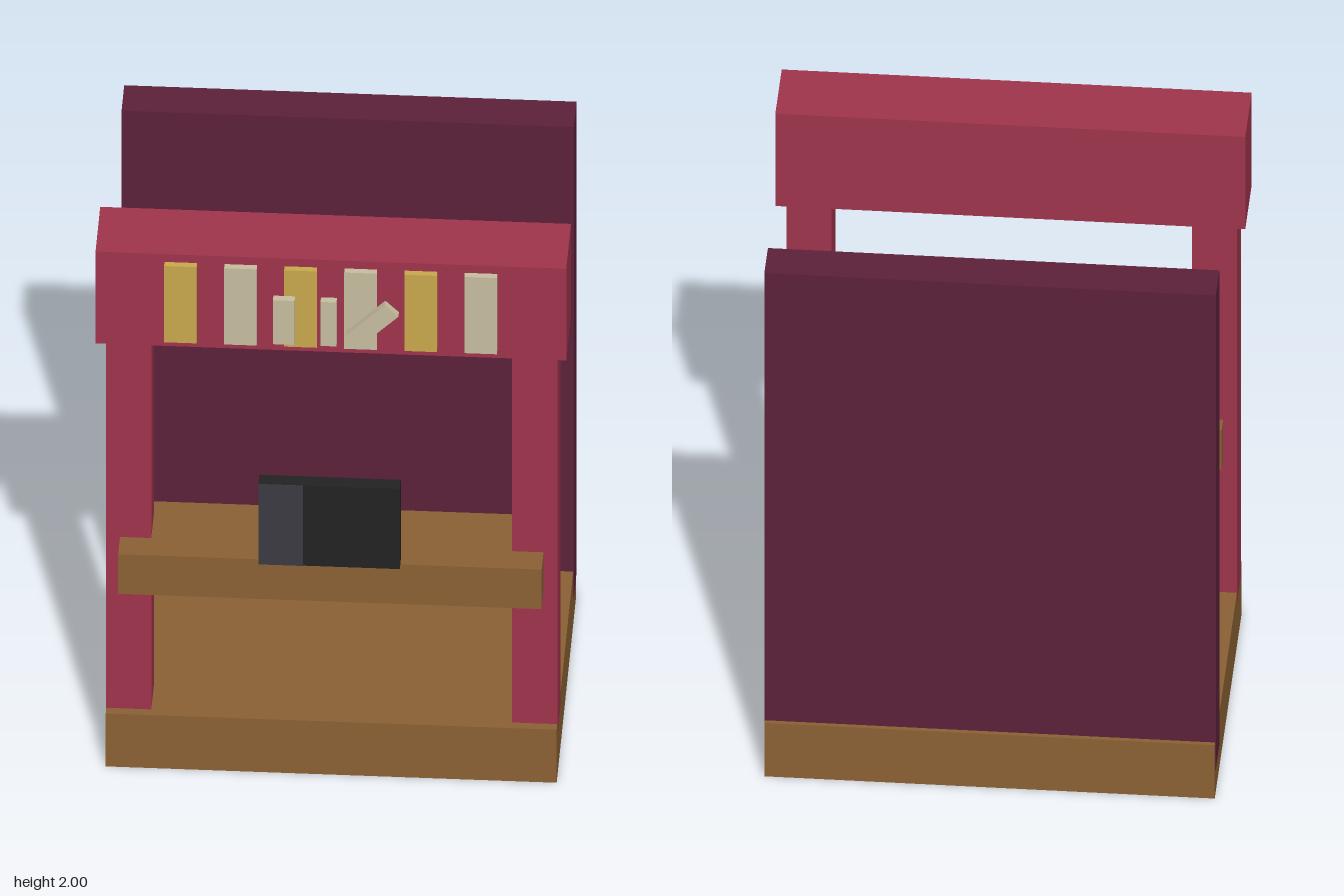
import * as THREE from 'three';

const material = (name, color) => {
  const m = new THREE.MeshStandardMaterial({ color });
  m.name = name;
  return m;
};

export function createModel() {
  const wood = material('wood', 0x8b6134);
  const red = material('crimson', 0xa0344c);
  const plum = material('plum', 0x5c213a);
  const gold = material('gold', 0xc9a84c);
  const cream = material('cream', 0xc8bda0);
  const black = material('black', 0x222222);
  const grey = material('grey', 0x3a3a42);

  const model = new THREE.Group();
  model.name = 'stall';

  // Box given by its extents along each axis
  const box = (name, mat, [x0, x1], [y0, y1], [z0, z1]) => {
    const mesh = new THREE.Mesh(new THREE.BoxGeometry(x1 - x0, y1 - y0, z1 - z0), mat);
    mesh.position.set((x0 + x1) / 2, (y0 + y1) / 2, (z0 + z1) / 2);
    mesh.name = name;
    model.add(mesh);
    return mesh;
  };

  // Stall structure
  box('base', wood, [-0.706, 0.706], [0, 0.205], [-0.555, 0.435]);
  box('backWall', plum, [-0.708, 0.708], [0.1, 1.925], [-0.54, -0.405]);
  box('leftPost', red, [0.565, 0.707], [0.17, 1.7], [0.265, 0.405]);
  box('rightPost', red, [-0.707, -0.565], [0.17, 1.7], [0.265, 0.405]);
  box('header', red, [-0.737, 0.737], [1.645, 2], [0.21, 0.448]);
  box('counter', wood, [-0.663, 0.663], [0.715, 0.868], [0.21, 0.497]);

  // Display box with a grey panel on its front
  box('displayBox', black, [-0.222, 0.221], [0.877, 1.187], [0.485, 0.534]);
  box('displayPanel', grey, [-0.222, -0.082], [0.877, 1.187], [0.534, 0.536]);

  // Alternating plaques along the header
  for (let i = 0; i < 6; i++) {
    const x = (i - 2.5) * 0.188;
    box('plaque', i % 2 ? cream : gold, [x - 0.051, x + 0.051], [1.675, 1.97], [0.44, 0.47]);
  }

  // Small floating tiles, the last one tilted
  box('smallTile', cream, [-0.175, -0.107], [1.745, 1.915], [0.53, 0.555]);
  box('narrowTile', cream, [-0.026, 0.024], [1.745, 1.915], [0.53, 0.555]);
  const tilted = box('tiltedTile', cream, [0.05, 0.222], [1.799, 1.859], [0.53, 0.555]);
  tilted.rotation.z = Math.PI / 4;

  return model;
}
